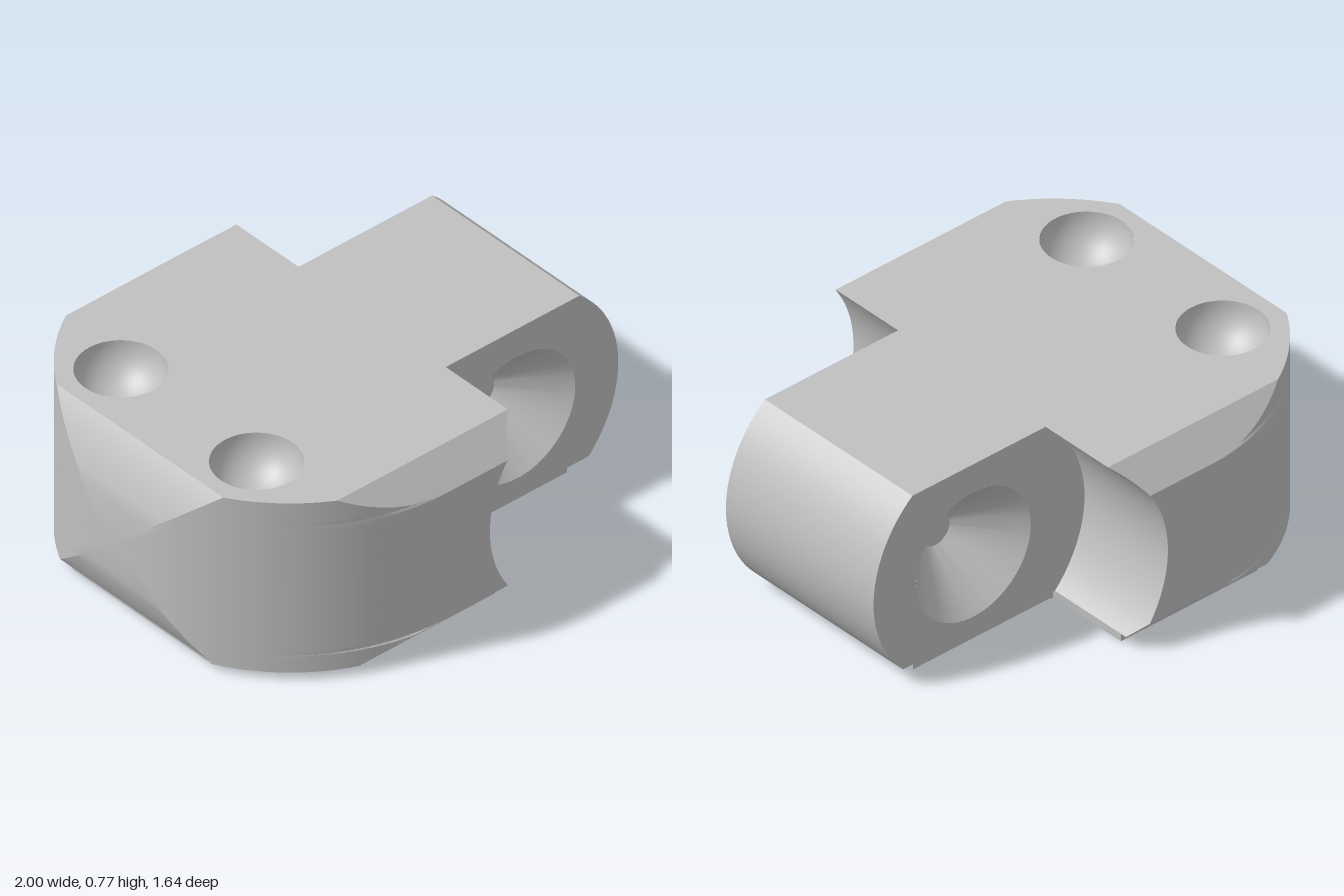
import * as THREE from 'three';
import { toCreasedNormals } from 'three/addons/utils/BufferGeometryUtils.js';

const BOTTOM = 0.05, TOP = 0.77, MID = 0.39;  // body heights
const HEAD_X = -0.18, HEAD_R = 0.82;          // rounded head in plan
const HINGE_X = 0.51, HINGE_R = 0.49;         // hinge barrel, axis along z
const TAB_Z = 0.385;                          // half width of the tab
const CREASE = 0.4;

// Head outline [x, z] at height y, from the right front corner round to the right back corner
function headOutline(y) {
  const d = y - MID;
  const left = -0.36 - Math.sqrt(0.64 * 0.64 - d * d);           // domed end
  const right = HINGE_X - Math.sqrt(HINGE_R * HINGE_R - d * d);  // hollow around the hinge
  const zMax = Math.min(0.82, 1.48 - y, 0.705 + y);              // chamfered sides
  const a0 = Math.acos(Math.min(1, (HEAD_X - left) / HEAD_R));
  const a1 = Math.asin(Math.min(1, zMax / HEAD_R));
  const half = [[right, TAB_Z - 0.005], [right, zMax]];
  const n = 28;
  for (let i = 0; i <= n; i++) {
    const a = a1 + (a0 - a1) * i / n;
    half.push([HEAD_X - HEAD_R * Math.cos(a), HEAD_R * Math.sin(a)]);
  }
  return [...half, ...half.map(([x, z]) => [x, -z]).reverse()];
}

// Walls of the head, lofted through the outlines
function headWalls() {
  const heights = [];
  const span = (a, b, n) => { for (let i = 0; i < n; i++) heights.push(a + (b - a) * i / n); };
  span(BOTTOM, 0.115, 6);
  span(0.115, MID, 14);
  span(MID, 0.66, 14);
  span(0.66, TOP, 8);
  heights.push(TOP);
  const pos = [], index = [];
  let m = 0;
  heights.forEach((y) => {
    const ring = headOutline(y);
    m = ring.length;
    ring.forEach(([x, z]) => pos.push(x, y, z));
  });
  for (let r = 0; r < heights.length - 1; r++) {
    for (let i = 0; i < m - 1; i++) {
      const a = r * m + i;
      index.push(a, a + m, a + 1, a + 1, a + m, a + m + 1);
    }
  }
  const g = new THREE.BufferGeometry();
  g.setAttribute('position', new THREE.Float32BufferAttribute(pos, 3));
  g.setIndex(index);
  return toCreasedNormals(g, CREASE);
}

const shapeOf = (pts) => new THREE.Shape(pts.map(([x, y]) => new THREE.Vector2(x, y)));
const circle = (x, y, r) => new THREE.Path().absarc(x, y, r, 0, Math.PI * 2);

// Inward-facing recess; the profile runs from the rim down to the centre
function recess(points) {
  const g = new THREE.LatheGeometry(points.map(([r, y]) => new THREE.Vector2(r, y)), 48);
  return toCreasedNormals(g, CREASE);
}

export function createModel() {
  const group = new THREE.Group();
  const grey = new THREE.MeshStandardMaterial({ color: 0xc0c0c0 });
  grey.name = 'grey';
  const add = (name, geometry) => {
    const mesh = new THREE.Mesh(geometry, grey);
    mesh.name = name;
    group.add(mesh);
    return mesh;
  };

  // Head
  add('headWalls', headWalls());
  const holeX = -0.65, holeZ = 0.355, holeR = 0.165;
  const topShape = shapeOf(headOutline(TOP).map(([x, z]) => [x, -z]));
  for (const s of [1, -1]) topShape.holes.push(circle(holeX, s * holeZ, holeR));
  add('headTop', new THREE.ShapeGeometry(topShape, 48).rotateX(-Math.PI / 2).translate(0, TOP, 0));
  add('headUnderside', new THREE.ShapeGeometry(shapeOf(headOutline(BOTTOM)))
    .rotateX(Math.PI / 2).translate(0, BOTTOM, 0));

  // Round sockets in the top
  const bowl = [];
  for (let i = 0; i <= 16; i++) {
    const a = i / 16 * Math.PI / 2;
    bowl.push([i === 16 ? 0 : holeR * Math.cos(a), -holeR * Math.sin(a)]);
  }
  for (const s of [1, -1]) {
    add(s > 0 ? 'frontSocket' : 'backSocket', recess(bowl)).position.set(holeX, TOP, s * holeZ);
  }

  // Hinge tab: a barrel cut flat above and below
  const coneX = 0.535, coneY = 0.385, coneR = 0.265;
  const up = Math.asin((TOP - MID) / HINGE_R), down = Math.asin((MID - BOTTOM) / HINGE_R);
  const tab = new THREE.Shape();
  tab.absarc(HINGE_X, MID, HINGE_R, -down, up);
  tab.absarc(HINGE_X, MID, HINGE_R, Math.PI - up, Math.PI + down);
  tab.closePath();
  tab.holes.push(circle(coneX, coneY, coneR));
  const tabGeometry = new THREE.ExtrudeGeometry(tab, { depth: TAB_Z * 2, bevelEnabled: false, curveSegments: 48 });
  add('hingeTab', toCreasedNormals(tabGeometry.translate(0, 0, -TAB_Z), CREASE));

  // Conical seats on both sides of the tab
  for (const s of [1, -1]) {
    const cone = add(s > 0 ? 'frontConeSeat' : 'backConeSeat',
      recess([[coneR, 0], [0.067, -0.2], [0, -0.2]]));
    cone.rotation.x = s * Math.PI / 2;
    cone.position.set(coneX, coneY, s * TAB_Z);
  }

  // Base plate, inset from the body outline
  const plateR = 0.775;
  const a0 = Math.acos(0.685 / plateR), a1 = Math.asin(0.71 / plateR);
  const half = [[0.79, 0.355], [0.158, 0.355], [0.145, 0.36], [0.14, 0.373], [0.14, 0.71]];
  for (let i = 0; i <= 14; i++) {
    const a = a1 + (a0 - a1) * i / 14;
    half.push([HEAD_X - plateR * Math.cos(a), plateR * Math.sin(a)]);
  }
  const plate = shapeOf([...half, ...half.map(([x, z]) => [x, -z]).reverse()]);
  const plateGeometry = new THREE.ExtrudeGeometry(plate, { depth: BOTTOM, bevelEnabled: false });
  add('basePlate', toCreasedNormals(plateGeometry.rotateX(-Math.PI / 2), CREASE));

  return group;
}
